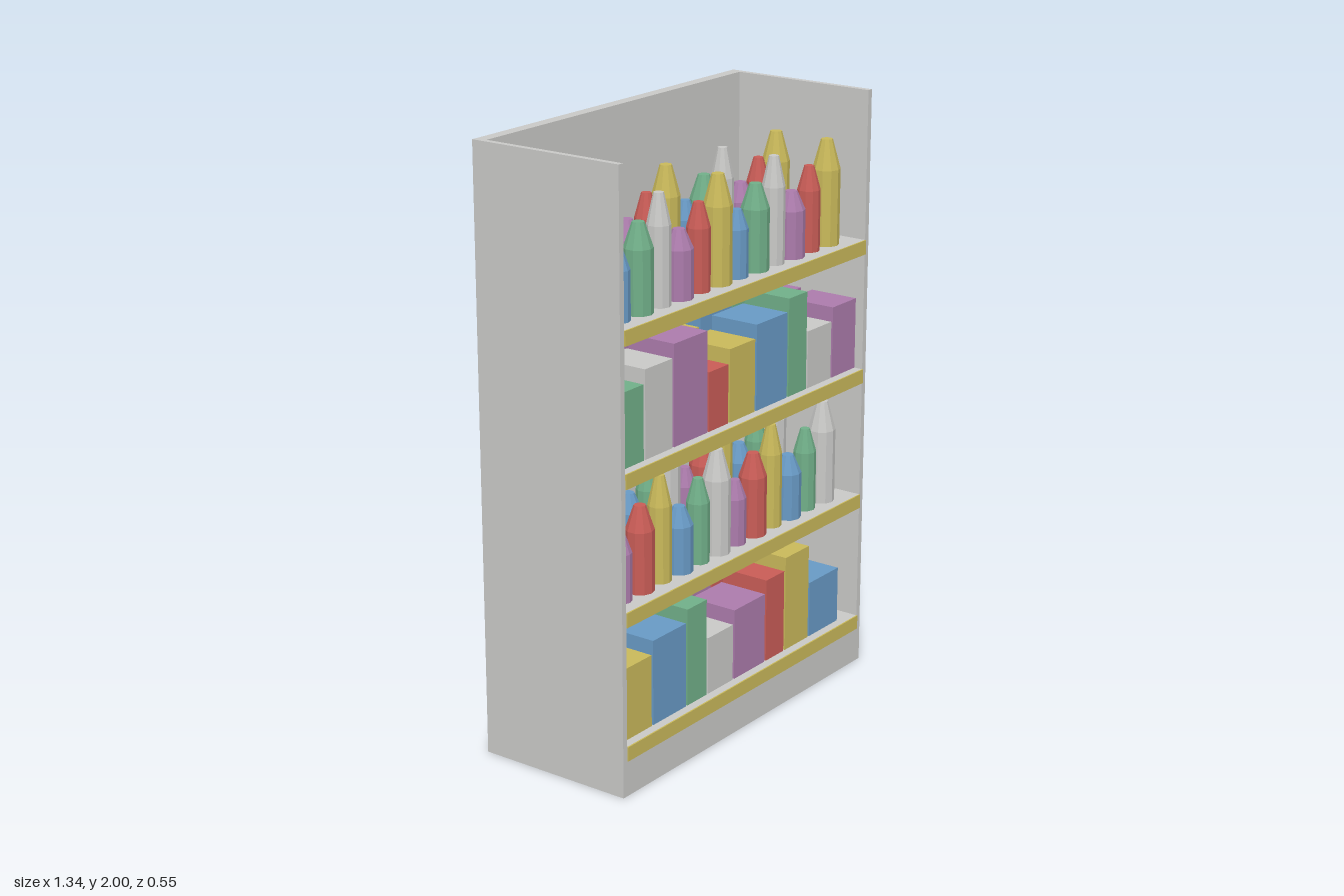
import * as THREE from 'three';

const COLORS = {
  blue: 0x6899c4, green: 0x70ae88, grey: 0xc8c8c6,
  purple: 0xab7bab, red: 0xc85c56, yellow: 0xc8b85a,
};
const ORDER = ['blue', 'green', 'grey', 'purple', 'red', 'yellow'];

export function createModel() {
  const root = new THREE.Group();
  const mats = {};
  for (const name of ORDER) {
    mats[name] = new THREE.MeshStandardMaterial({ color: COLORS[name] });
    mats[name].name = name;
  }
  const colorAt = (i) => mats[ORDER[i % ORDER.length]];

  // Box given by its minimum and maximum corners
  function box(name, mat, x0, x1, y0, y1, z0, z1, parent = root) {
    const mesh = new THREE.Mesh(new THREE.BoxGeometry(x1 - x0, y1 - y0, z1 - z0), mat);
    mesh.position.set((x0 + x1) / 2, (y0 + y1) / 2, (z0 + z1) / 2);
    mesh.name = name;
    parent.add(mesh);
  }

  // Open-topped case
  const L = -0.671, R = 0.657, back = -0.277, front = 0.273, wall = 0.02;
  const inL = L + wall, inR = R - wall, inBack = back + 0.04;
  box('rightSidePanel', mats.grey, L, inL, 0, 2, back, front);
  box('leftSidePanel', mats.grey, inR, R, 0, 2, back, front);
  box('backPanel', mats.grey, inL, inR, 0, 2, back, inBack);
  box('plinth', mats.grey, inL, inR, 0, 0.125, inBack, front);

  // Shelves with yellow front strips
  const shelfY = [0.167, 0.612, 1.057, 1.502];
  shelfY.forEach((y) => {
    box('shelf', mats.grey, inL, inR, y - 0.045, y, inBack, front - 0.001);
    box('shelfStrip', mats.yellow, inL, inR, y - 0.048, y, front - 0.001, front + 0.004);
  });

  // Bottles: straight body and tapered shoulder, cut flat at the top
  function bottle(mat, r, h, x, y, z, parent) {
    const points = [[0, 0], [r, 0], [r, h * 0.72], [r * 0.42, h], [0, h]]
      .map(([px, py]) => new THREE.Vector2(px, py));
    const geo = new THREE.LatheGeometry(points, 10).toNonIndexed();
    geo.computeVertexNormals();
    const mesh = new THREE.Mesh(geo, mat);
    mesh.name = 'bottle';
    mesh.position.set(x, y, z);
    parent.add(mesh);
  }

  function bottleShelf(y, colorStart) {
    const group = new THREE.Group();
    group.name = 'bottleRows';
    const heights = [0.218, 0.281, 0.35], radii = [0.038, 0.046];
    for (const z of [-0.005, 0.194]) {
      for (let i = 0; i < 12; i++) {
        bottle(colorAt(colorStart + i), radii[i % 2], heights[i % 3], -0.579 + i * 0.0998, y, z, group);
      }
    }
    root.add(group);
  }

  // Cartons standing side by side in two rows
  function cartonShelf(y, colorStart, widthStart, count) {
    const group = new THREE.Group();
    group.name = 'cartonRows';
    const widths = [0.102, 0.136, 0.171], heights = [0.241, 0.286, 0.33, 0.194];
    for (const z of [-0.153, 0.067]) {
      let x = -0.622;
      for (let i = 0; i < count; i++) {
        const w = widths[(widthStart + i) % 3];
        box('carton', colorAt(colorStart + i), x, x + w, y, y + heights[i % 4], z, z + 0.175, group);
        x += w + 0.0083;
      }
    }
    root.add(group);
  }

  cartonShelf(shelfY[0], 5, 1, 8);
  bottleShelf(shelfY[1], 3);
  cartonShelf(shelfY[2], 1, 0, 9);
  bottleShelf(shelfY[3], 0);
  return root;
}
